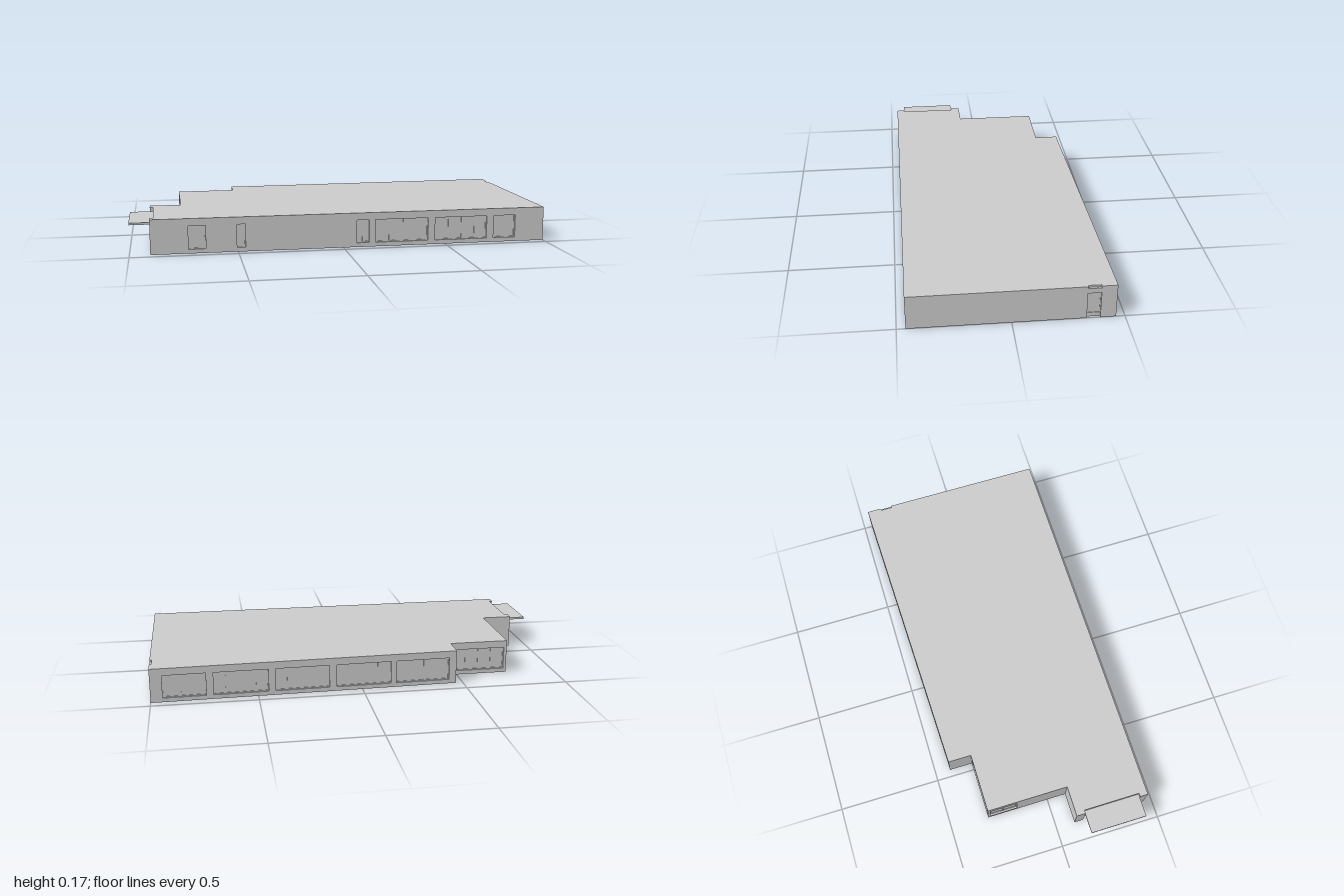
import * as THREE from 'three';

const grey = new THREE.MeshStandardMaterial({ color: 0xcccccc });
const H = 0.165, SILL = 0.02, HEAD = 0.13, LINTEL = 0.155, DEPTH = 0.012;

// Footprint walls, in order round the building: start corner [x, z] and openings.
// An opening is [from, to, mullions] along the wall's main axis (x or z).
const walls = [
  { name: 'frontWall', start: [-0.905, 0.46], axis: 0, windows: [
    [-0.73, -0.65, []], [-0.505, -0.465, []], [0.065, 0.125, [0.095]],
    [0.155, 0.415, [0.225, 0.295]], [0.45, 0.71, [0.52, 0.585, 0.65]], [0.745, 0.855, []]] },
  { name: 'rightWall', start: [1, 0.46], axis: 1, door: [-0.33, -0.39, []], doorDepth: 0.01 },
  { name: 'backWall', start: [1, -0.46], axis: 0, windows: [
    [0.944, 0.743, [0.86, 0.8]], [0.708, 0.451, [0.65, 0.507]], [0.417, 0.16, [0.36, 0.215]],
    [0.125, -0.14, [0.067, -0.077]], [-0.167, -0.43, [-0.305]]] },
  { name: 'backStep', start: [-0.465, -0.425], axis: 1 },
  { name: 'wingBackWall', start: [-0.465, -0.31], axis: 0, windows: [
    [-0.48, -0.741, [-0.545, -0.61, -0.675]]] },
  { name: 'wingSideWall', start: [-0.755, -0.31], axis: 1, windows: [[-0.296, -0.16, [-0.23]]] },
  { name: 'entranceStep', start: [-0.755, 0.095], axis: 0 },
  { name: 'entranceWall', start: [-0.905, 0.095], axis: 1,
    entrance: [0.14, 0.42, [0.21, 0.28, 0.35]], doorDepth: 0.017 },
];

// Direction, inward normal and a coordinate-to-point function for each wall
walls.forEach((w, i) => {
  const a = new THREE.Vector2(...w.start);
  const b = new THREE.Vector2(...walls[(i + 1) % walls.length].start);
  w.dir = b.clone().sub(a).normalize();
  w.inward = new THREE.Vector2(w.dir.y, -w.dir.x);
  w.point = (c, depth = 0) => {
    const k = (c - w.start[w.axis]) / w.dir.getComponent(w.axis);
    return a.clone().addScaledVector(w.dir, k).addScaledVector(w.inward, depth);
  };
});

// One horizontal layer of the building, notched at the chosen kinds of opening
function layer(name, y0, y1, kinds) {
  const pts = [];
  for (const w of walls) {
    pts.push(new THREE.Vector2(...w.start));
    const notches = [];
    if (kinds.includes('windows')) (w.windows || []).forEach(o => notches.push([o, DEPTH]));
    for (const kind of ['door', 'entrance'])
      if (kinds.includes(kind) && w[kind]) notches.push([w[kind], w.doorDepth]);
    for (const [[from, to], d] of notches)
      pts.push(w.point(from), w.point(from, d), w.point(to, d), w.point(to));
  }
  const shape = new THREE.Shape(pts.map(p => new THREE.Vector2(p.x, -p.y)));
  const geo = new THREE.ExtrudeGeometry(shape, { depth: y1 - y0, bevelEnabled: false });
  geo.rotateX(-Math.PI / 2).translate(0, y0, 0);
  const mesh = new THREE.Mesh(geo, grey);
  mesh.name = name;
  return mesh;
}

function box(name, w, h, d, x, y, z) {
  const mesh = new THREE.Mesh(new THREE.BoxGeometry(w, h, d), grey);
  mesh.position.set(x, y, z);
  mesh.name = name;
  return mesh;
}

// Glass, frame and mullions at the back of an opening
function glazing(name, wall, [from, to, mullions], depth, top) {
  const group = new THREE.Group();
  group.name = name;
  const p = wall.point((from + to) / 2, depth);
  group.position.set(p.x, 0, p.y);
  group.rotation.y = Math.atan2(-wall.dir.y, wall.dir.x);
  const width = wall.point(from).distanceTo(wall.point(to));
  const height = top - SILL, mid = (top + SILL) / 2, t = 0.004;
  group.add(box('glass', width, height, 0.002, 0, mid, 0));
  for (const s of [-1, 1]) {
    group.add(box('jamb', t, height, 0.008, s * (width - t) / 2, mid, 0));
    group.add(box('rail', width, t, 0.008, 0, mid + s * (height - t) / 2, 0));
  }
  for (const m of mullions) {
    const x = wall.point(m, depth).sub(p).dot(wall.dir);
    group.add(box('mullion', t, height, 0.008, x, mid, 0));
  }
  return group;
}

export function createModel() {
  const model = new THREE.Group();
  model.name = 'building';

  // Solid body in layers
  model.add(
    layer('base', 0, SILL, ['door', 'entrance']),
    layer('windowBand', SILL, HEAD, ['windows', 'door', 'entrance']),
    layer('lintelBand', HEAD, LINTEL, ['entrance']),
    layer('roofEdge', LINTEL, H, ['door', 'entrance']),
  );

  // Windows and doors
  for (const w of walls) {
    (w.windows || []).forEach(o => model.add(glazing('window', w, o, DEPTH, HEAD)));
    if (w.door) model.add(glazing('sideDoor', w, w.door, w.doorDepth, HEAD));
    if (w.entrance) model.add(glazing('entranceDoors', w, w.entrance, w.doorDepth, HEAD));
  }

  // Flat canopy over the entrance
  model.add(box('entranceCanopy', 0.112, 0.01, 0.28, -0.944, 0.14, 0.28));
  return model;
}
